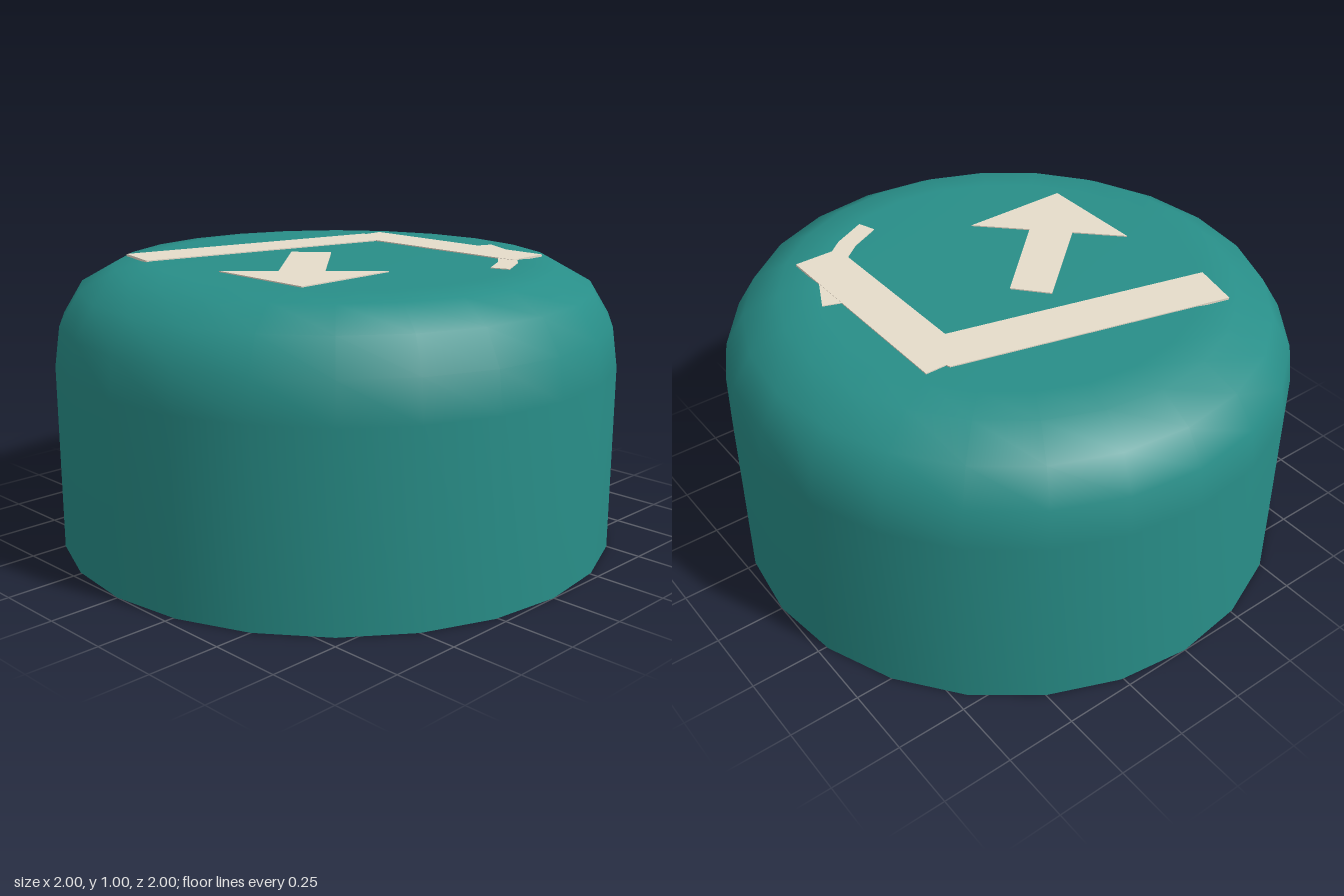
import * as THREE from 'three';

export function createModel() {
  const model = new THREE.Group();
  const teal = new THREE.MeshStandardMaterial({ color: 0x288e88 });
  teal.name = 'teal';
  const cream = new THREE.MeshStandardMaterial({ color: 0xe6dcca });
  cream.name = 'cream';
  const SIDES = 24;

  function add(name, geometry, material) {
    const mesh = new THREE.Mesh(geometry, material);
    mesh.name = name;
    model.add(mesh);
    return mesh;
  }

  // Knob body: straight wall with a rounded shoulder and a flat top
  const profile = [[1, 0], [1, 0.66], [0.98, 0.8], [0.91, 0.915], [0.785, 0.985], [0.66, 1], [0, 1]]
    .map(([r, y]) => new THREE.Vector2(r, y));
  add('body', new THREE.LatheGeometry(profile, SIDES), teal);

  // Flat underside
  add('base', new THREE.CircleGeometry(1, SIDES).rotateX(Math.PI / 2), teal);

  // Thin plate on the top face, outlined by [x, z] points
  function plate(name, points, top) {
    const shape = new THREE.Shape(points.map(([x, z]) => new THREE.Vector2(x, z)));
    const geometry = new THREE.ExtrudeGeometry(shape, { depth: 0.008, bevelEnabled: false });
    add(name, geometry.rotateX(Math.PI / 2), cream).position.y = top;
  }

  // Bent bar
  plate('bentBar', [
    [-0.505, -0.56], [0.465, -0.315], [0.47, -0.3], [0.545, -0.3],
    [0.545, 0.5], [0.375, 0.5], [0.375, -0.16], [-0.545, -0.39],
  ], 1.004);

  // Arrow
  plate('arrow', [
    [-0.5, 0.35], [-0.1, 0.35], [-0.25, 0.2], [0.045, -0.07],
    [-0.05, -0.18], [-0.36, 0.09], [-0.5, -0.05],
  ], 1.004);

  // Arc crossing the end of the bar
  const outer = [], inner = [];
  for (let i = 0; i <= 4; i++) {
    const a = THREE.MathUtils.degToRad(20 + 12.5 * i);
    outer.push([0.645 * Math.cos(a), 0.645 * Math.sin(a)]);
    inner.unshift([0.577 * Math.cos(a), 0.577 * Math.sin(a)]);
  }
  plate('arc', [...outer, ...inner], 1.003);

  return model;
}
